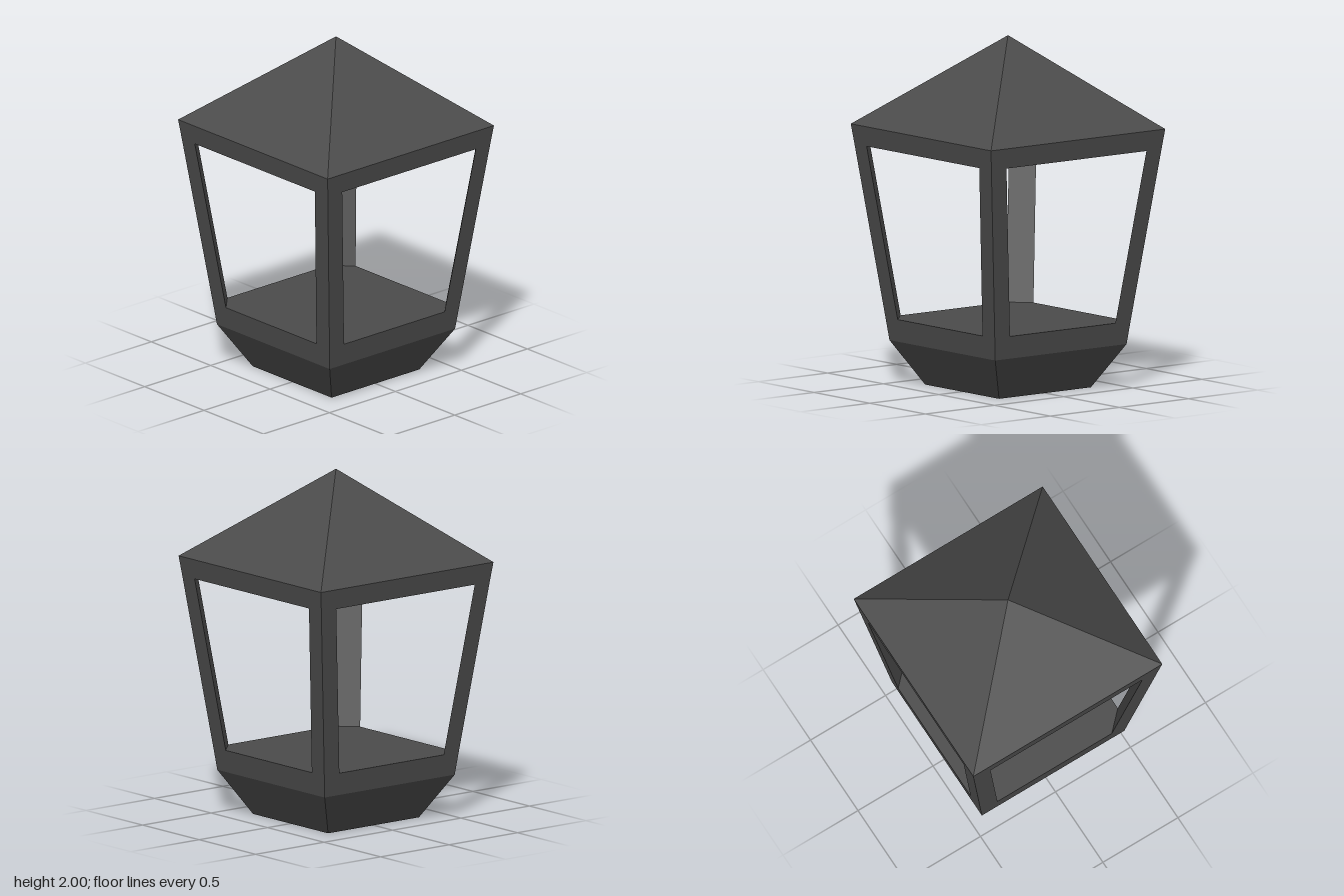
import * as THREE from 'three';

const iron = new THREE.MeshStandardMaterial({ color: 0x4b4b4b, flatShading: true });
iron.name = 'dark iron';

// Solid with a square plan, from [half width, height] pairs, bottom to top
function squareSolid(name, profile) {
  const points = profile.map(([half, y]) => new THREE.Vector2(half * Math.SQRT2, y));
  const geometry = new THREE.LatheGeometry(points, 4).rotateY(Math.PI / 4).toNonIndexed();
  geometry.computeVertexNormals();
  const mesh = new THREE.Mesh(geometry, iron);
  mesh.name = name;
  return mesh;
}

// Leaning three-sided corner post, its inner face cut on the diagonal
function postGeometry(y0, outer0, inner0, y1, outer1, inner1) {
  const ring = (y, o, i) => [[o, y, o], [o, y, i], [i, y, o]];
  const low = ring(y0, outer0, inner0);
  const high = ring(y1, outer1, inner1);
  const positions = [];
  for (let k = 0; k < 3; k++) {
    const n = (k + 1) % 3;
    positions.push(...low[k], ...low[n], ...high[n], ...low[k], ...high[n], ...high[k]);
  }
  const geometry = new THREE.BufferGeometry();
  geometry.setAttribute('position', new THREE.Float32BufferAttribute(positions, 3));
  geometry.computeVertexNormals();
  return geometry;
}

export function createModel() {
  const lantern = new THREE.Group();
  lantern.name = 'lantern';

  // Tapered foot with the lower rail and floor
  lantern.add(squareSolid('base', [[0, 0], [0.332, 0], [0.475, 0.25], [0.491, 0.38], [0, 0.38]]));

  // Upper rail with the pyramid roof
  lantern.add(squareSolid('roof', [[0, 1.365], [0.615, 1.365], [0.63, 1.48], [0, 2]]));

  // Four corner posts
  const geometry = postGeometry(0.38, 0.491, 0.381, 1.365, 0.615, 0.506);
  for (let k = 0; k < 4; k++) {
    const post = new THREE.Mesh(geometry, iron);
    post.name = 'cornerPost';
    post.rotation.y = k * Math.PI / 2;
    lantern.add(post);
  }
  return lantern;
}
